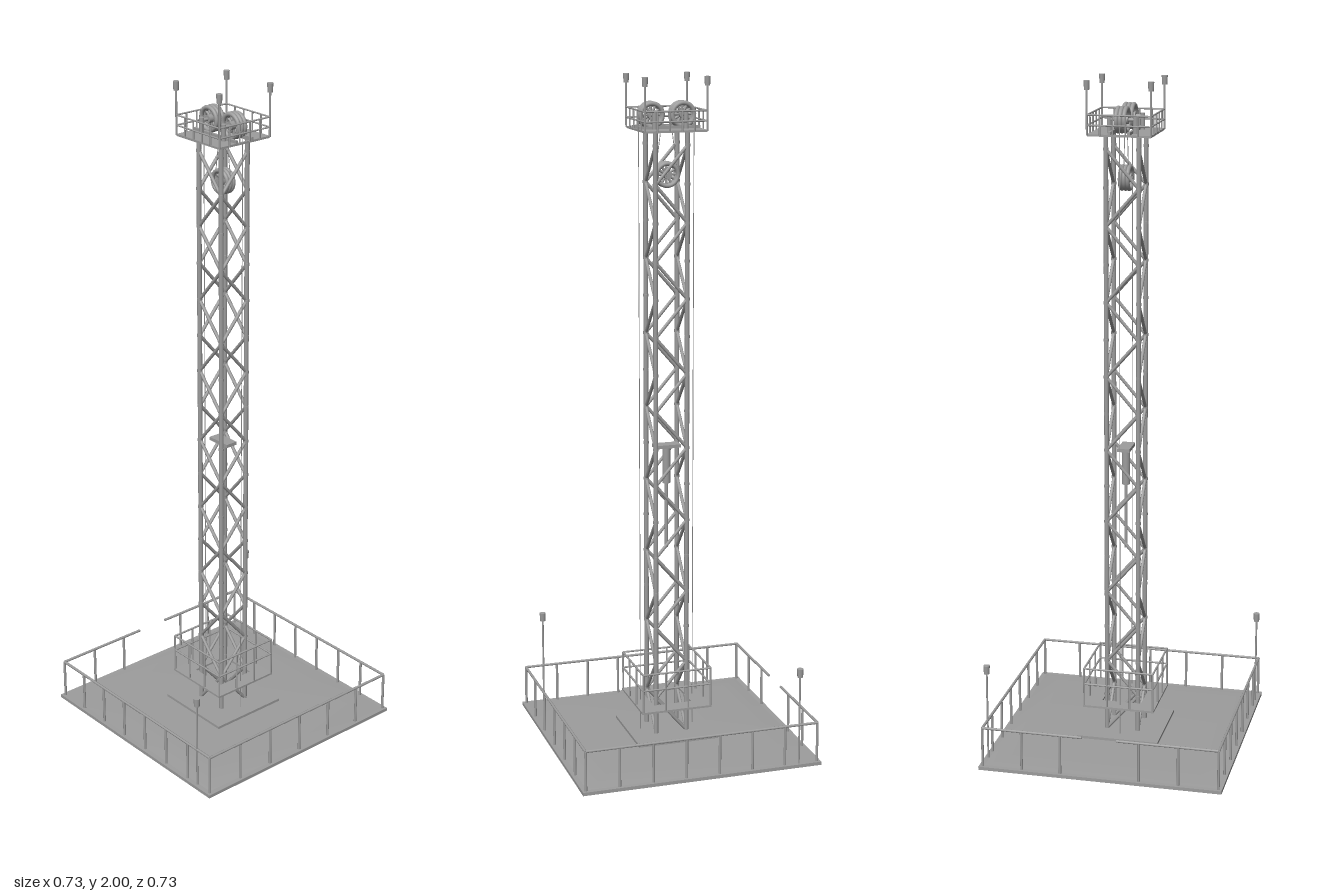
import * as THREE from 'three';

const mat = new THREE.MeshStandardMaterial({ color: 0x9d9d9d });
const V = (x, y, z) => new THREE.Vector3(x, y, z);

function add(parent, name, geo, x = 0, y = 0, z = 0) {
  const m = new THREE.Mesh(geo, mat);
  m.name = name;
  m.position.set(x, y, z);
  parent.add(m);
  return m;
}
function group(parent, name) {
  const g = new THREE.Group();
  g.name = name;
  parent.add(g);
  return g;
}
const box = (parent, name, w, h, d, x, y, z) => add(parent, name, new THREE.BoxGeometry(w, h, d), x, y, z);

// Round bar between two points
function bar(parent, name, a, b, r, sides = 8) {
  const dir = b.clone().sub(a);
  const m = add(parent, name, new THREE.CylinderGeometry(r, r, dir.length(), sides));
  m.position.copy(a).addScaledVector(dir, 0.5);
  m.quaternion.setFromUnitVectors(V(0, 1, 0), dir.normalize());
}

// Straight railing with evenly spaced posts and rails at given heights
function railing(parent, a, b, y0, heights, segments, r) {
  const top = Math.max(...heights);
  for (const h of heights) bar(parent, 'rail', V(a[0], h, a[1]), V(b[0], h, b[1]), r);
  for (let i = 0; i <= segments; i++) {
    const t = i / segments, x = a[0] + (b[0] - a[0]) * t, z = a[1] + (b[1] - a[1]) * t;
    bar(parent, 'railPost', V(x, y0, z), V(x, top, z), r);
  }
}
function squareRailing(parent, s, y0, heights, segments, r) {
  const c = [[-s, -s], [s, -s], [s, s], [-s, s]];
  c.forEach((p, i) => railing(parent, p, c[(i + 1) % 4], y0, heights, segments, r));
}

// Pole with a small warning lamp
function lampPole(parent, x, z, y0, y1, r) {
  const g = group(parent, 'lampPole');
  bar(g, 'pole', V(x, y0, z), V(x, y1 - 0.02, z), 0.003);
  add(g, 'lamp', new THREE.CylinderGeometry(r, r * 0.85, 0.026, 12), x, y1 - 0.013, z);
}

// Pulley wheel: three rounded rims, hub and spokes, axle along z
function sheave(parent, name, x, y, R, halfWidth) {
  const g = group(parent, name), tube = halfWidth / 2.8;
  g.position.set(x, y, 0);
  for (const k of [-1, 0, 1])
    add(g, 'rim', new THREE.TorusGeometry(R - tube, tube, 10, 32), 0, 0, k * (halfWidth - tube));
  const hub = add(g, 'hub', new THREE.CylinderGeometry(0.012, 0.012, halfWidth * 2, 16));
  hub.rotation.x = Math.PI / 2;
  for (let i = 0; i < 12; i++) {
    const a = i * Math.PI / 6, c = Math.cos(a), s = Math.sin(a);
    bar(g, 'spoke', V(c * 0.009, s * 0.009, 0), V(c * (R - 0.008), s * (R - 0.008), 0), 0.004);
  }
}

function buildBase(root) {
  const g = group(root, 'base');
  box(g, 'slab', 0.73, 0.01, 0.73, 0, 0.005, 0);
  // Very shallow four-sided mound with softly shaded slopes
  const profile = [[0.35, 0.01], [0.273, 0.02], [0, 0.02]].map(([r, y]) => new THREE.Vector2(r * Math.SQRT2, y));
  add(g, 'mound', new THREE.LatheGeometry(profile, 4, Math.PI / 4));
  box(g, 'footPlate', 0.25, 0.008, 0.25, 0, 0.024, 0);

  // Perimeter fence with an entrance on the -x side
  const f = group(root, 'fence'), s = 0.354, h = [0.13], r = 0.004;
  railing(f, [-s, s], [s, s], 0.005, h, 7, r);
  railing(f, [-s, -s], [s, -s], 0.005, h, 7, r);
  railing(f, [s, -s], [s, s], 0.005, h, 6, r);
  for (const k of [-1, 1]) {
    bar(f, 'rail', V(-s, 0.13, k * s), V(-s, 0.13, k * 0.052), r);
    for (const z of [0.235, 0.118]) bar(f, 'railPost', V(-s, 0.005, k * z), V(-s, 0.13, k * z), r);
    lampPole(root, k * 0.297, k * s, 0.005, 0.305, 0.01);
  }
}

function buildTower(root) {
  const g = group(root, 'tower'), s = 0.048, y0 = 0.028, step = 0.111, n = 16;
  for (const x of [-s, s]) for (const z of [-s, s]) {
    bar(g, 'leg', V(x, y0, z), V(x, 1.845, z), 0.007, 10);
    for (let i = 1; i <= n; i++)
      add(g, 'legCollar', new THREE.CylinderGeometry(0.008, 0.008, 0.008, 10), x, y0 + i * step, z);
  }
  // Zigzag bracing on the four faces
  for (let i = 0; i < n; i++) {
    const a = i % 2 ? s : -s, ya = y0 + i * step, yb = ya + step;
    for (const k of [-s, s]) {
      bar(g, 'brace', V(a, ya, k), V(-a, yb, k), 0.005);
      bar(g, 'brace', V(k, ya, a), V(k, yb, -a), 0.005);
    }
  }
}

function buildWorkPlatform(root) {
  const g = group(root, 'workPlatform'), s = 0.109, k = 0.06;
  const shape = new THREE.Shape([[-s, -s], [s, -s], [s, s], [-s, s]].map(p => new THREE.Vector2(...p)));
  shape.holes.push(new THREE.Path([[-k, -k], [-k, k], [k, k], [k, -k]].map(p => new THREE.Vector2(...p))));
  const deck = add(g, 'platformDeck', new THREE.ExtrudeGeometry(shape, { depth: 0.006, bevelEnabled: false }), 0, 0.122, 0);
  deck.rotation.x = Math.PI / 2;
  squareRailing(g, s - 0.003, 0.12, [0.19, 0.24], 3, 0.003);
}

function buildCrown(root) {
  const g = group(root, 'crown'), s = 0.092, y = 1.847;
  // Two deck halves leave a slot for the cables
  for (const k of [-1, 1]) {
    box(g, 'crownDeck', 0.184, 0.006, 0.062, 0, y, k * 0.061);
    box(g, 'slotBeam', 0.184, 0.012, 0.008, 0, y + 0.005, k * 0.028);
    box(g, 'endBeam', 0.006, 0.006, 0.184, k * 0.089, y, 0);
  }
  squareRailing(g, s, y, [1.875, 1.904], 5, 0.0025);
  for (const x of [-s, s]) for (const z of [-s, s]) lampPole(g, x, z, y, 2, 0.009);

  // Crown pulleys on axles held by short posts
  for (const x of [-0.047, 0.047]) {
    sheave(g, 'crownPulley', x, 1.888, 0.039, 0.018);
    bar(g, 'axle', V(x, 1.888, -0.04), V(x, 1.888, 0.04), 0.005, 12);
    for (const z of [-0.038, 0.038])
      add(g, 'axlePost', new THREE.CylinderGeometry(0.007, 0.007, 0.05, 12), x, 1.872, z);
  }
}

function buildHoist(root) {
  const g = group(root, 'hoist');
  sheave(g, 'travellingPulley', 0, 1.717, 0.038, 0.017);
  bar(g, 'pulleyPin', V(0, 1.717, -0.02), V(0, 1.717, 0.02), 0.006, 12);
  // Cables over the crown pulleys, down to the ground and to the travelling pulley
  for (const k of [-1, 1]) {
    bar(g, 'outerCable', V(k * 0.083, 0.02, 0), V(k * 0.083, 1.888, 0), 0.0012, 6);
    bar(g, 'innerCable', V(k * 0.011, 1.888, 0), V(k * 0.034, 1.717, 0), 0.0012, 6);
  }
  // Drive head and drill rod
  box(g, 'driveYoke', 0.078, 0.01, 0.038, 0, 0.914, 0);
  bar(g, 'driveBody', V(0, 0.8, 0), V(0, 0.912, 0), 0.012, 16);
  bar(g, 'drillRod', V(0, 0.6, 0), V(0, 0.8, 0), 0.005, 12);
}

export function createModel() {
  const root = new THREE.Group();
  root.name = 'drillingTower';
  buildBase(root);
  buildTower(root);
  buildWorkPlatform(root);
  buildCrown(root);
  buildHoist(root);
  return root;
}
